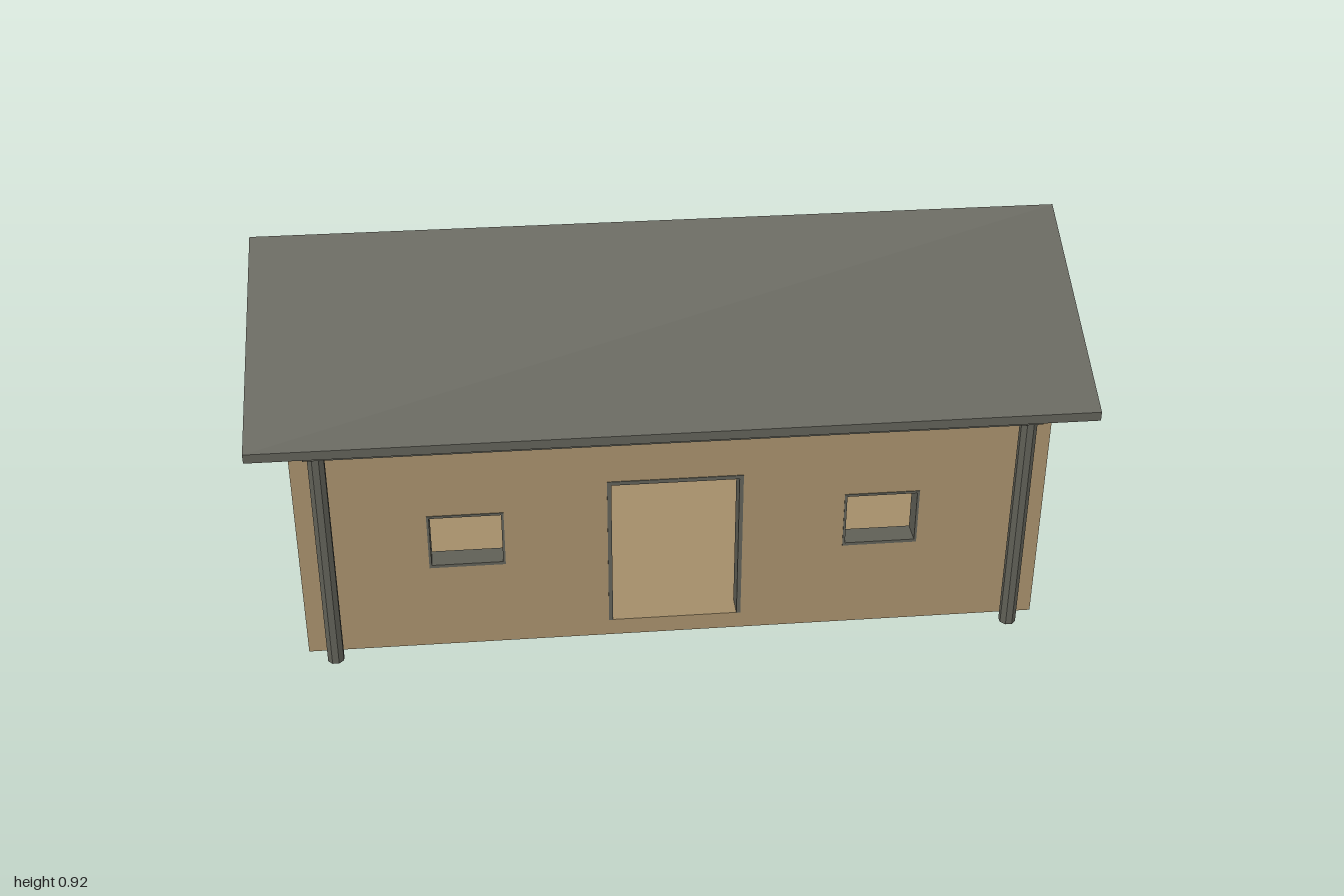
import * as THREE from 'three';

const wallMat = new THREE.MeshStandardMaterial({ name: 'tan wall', color: 0xa38d69 });
const roofMat = new THREE.MeshStandardMaterial({ name: 'grey roof and trim', color: 0x5f5f56 });

const W = 0.91, D = 0.458, T = 0.055; // half width, half depth, wall thickness
const EAVE = 0.655, RIDGE = 0.9, WALL_TOP = 0.618, FLOOR = 0.045;

// Openings in the front wall: [name, x0, y0, x1, y1, frame width, bottom frame width]
const openings = [
  ['door', -0.165, FLOOR, 0.165, 0.455, 0.01, 0],
  ['rightWindow', -0.6, 0.233, -0.415, 0.383, 0.006, 0.008],
  ['leftWindow', 0.415, 0.233, 0.6, 0.383, 0.006, 0.008],
];

function polygon(points, Type = THREE.Shape) {
  return new Type(points.map(([x, y]) => new THREE.Vector2(x, y)));
}

function rectangle(x0, y0, x1, y1, Type) {
  return polygon([[x0, y0], [x1, y0], [x1, y1], [x0, y1]], Type);
}

function extrude(shape, depth) {
  return new THREE.ExtrudeGeometry(shape, { depth, bevelEnabled: false });
}

export function createModel() {
  const model = new THREE.Group();
  model.name = 'house';

  function add(name, geometry, material, x = 0, y = 0, z = 0) {
    const mesh = new THREE.Mesh(geometry, material);
    mesh.name = name;
    mesh.position.set(x, y, z);
    model.add(mesh);
    return mesh;
  }

  // Gable walls, extruded along x and full height to the roof
  const gable = polygon([[-D, 0], [D, 0], [D, EAVE], [0, RIDGE], [-D, EAVE]]);
  const gableGeo = extrude(gable, T).rotateY(Math.PI / 2);
  add('rightGableWall', gableGeo, wallMat, -W);
  add('leftGableWall', gableGeo, wallMat, W - T);

  // Long walls, stopping just short of the roof
  const inner = W - T;
  const front = rectangle(-inner, 0, inner, WALL_TOP);
  for (const [, x0, y0, x1, y1] of openings) {
    front.holes.push(rectangle(x0, y0, x1, y1, THREE.Path));
  }
  add('frontWall', extrude(front, T), wallMat, 0, 0, D - T);
  add('backWall', new THREE.BoxGeometry(inner * 2, WALL_TOP, T), wallMat, 0, WALL_TOP / 2, -D + T / 2);

  // Floor slab
  add('floor', new THREE.BoxGeometry(inner * 2, FLOOR, (D - T) * 2), wallMat, 0, FLOOR / 2, 0);

  // Door and window frames lining the openings
  for (const [name, x0, y0, x1, y1, f, b] of openings) {
    let frame;
    if (b > 0) {
      frame = rectangle(x0, y0, x1, y1);
      frame.holes.push(rectangle(x0 + f, y0 + b, x1 - f, y1 - f, THREE.Path));
    } else {
      frame = polygon([
        [x0, y0], [x0 + f, y0], [x0 + f, y1 - f], [x1 - f, y1 - f],
        [x1 - f, y0], [x1, y0], [x1, y1], [x0, y1],
      ]);
    }
    add(name + 'Frame', extrude(frame, T + 0.004), roofMat, 0, 0, D - T - 0.002);
  }

  // Pitched roof with plumb-cut eaves
  const roof = polygon([
    [-0.544, 0.612], [0, RIDGE], [0.544, 0.612],
    [0.544, 0.635], [0, 0.921], [-0.544, 0.635],
  ]);
  add('roof', extrude(roof, 2).rotateY(Math.PI / 2), roofMat, -1);

  // Porch beam and its octagonal posts
  const beamZ = 0.493;
  add('porchBeam', new THREE.BoxGeometry(1.74, 0.045, 0.054), roofMat, 0, 0.6165, beamZ);
  const postGeo = new THREE.CylinderGeometry(0.021, 0.021, 0.595, 8).rotateY(Math.PI / 8).toNonIndexed();
  postGeo.computeVertexNormals();
  for (const side of [-1, 1]) {
    add(side < 0 ? 'rightPost' : 'leftPost', postGeo, roofMat, side * 0.842, 0.2975, beamZ);
  }

  return model;
}
